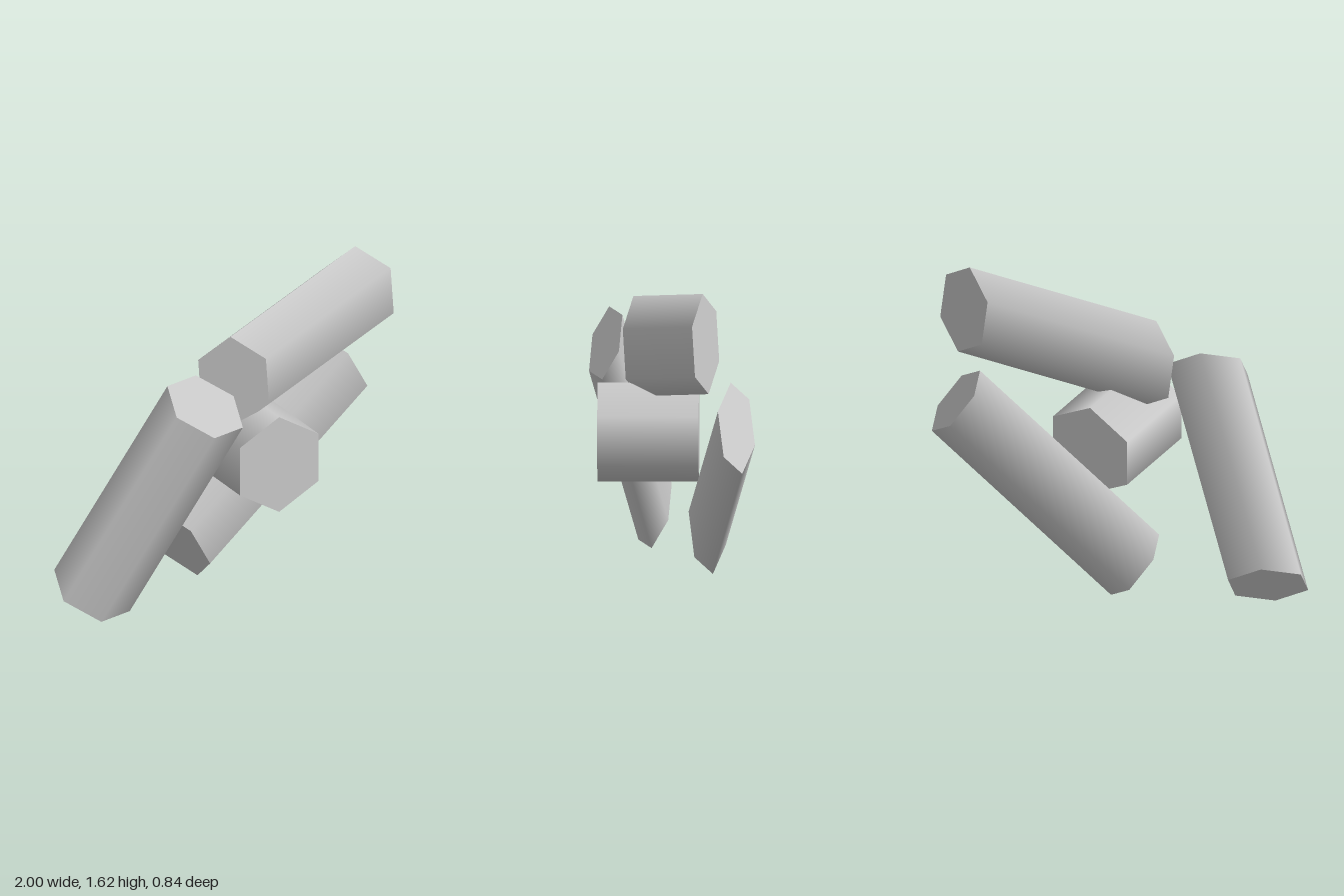
import * as THREE from 'three';

const material = new THREE.MeshStandardMaterial({ color: 0xcccccc });

// Smooth-sided six-sided prism, skewed so that its cap has the
// neighbouring corners a and b (offsets from the cap centre).
function prism(name, centre, axis, a, b) {
  const y = new THREE.Vector3(...axis);
  const z = new THREE.Vector3(...a);
  const x = new THREE.Vector3(...b).addScaledVector(z, -0.5).divideScalar(Math.sin(Math.PI / 3));
  const matrix = new THREE.Matrix4().makeBasis(x, y, z);
  // keep the faces turned outward
  if (matrix.determinant() < 0) matrix.makeBasis(x.negate(), y, z);
  matrix.setPosition(...centre);

  const geometry = new THREE.CylinderGeometry(1, 1, 1, 6);
  geometry.applyMatrix4(matrix);
  const mesh = new THREE.Mesh(geometry, material);
  mesh.name = name;
  return mesh;
}

export function createModel() {
  const group = new THREE.Group();
  group.name = 'hexagonalPrisms';
  group.add(
    // short hub pointing forward
    prism('hub', [0.108, 0.768, 0.118], [0, 0, 0.505], [0, 0.253, 0], [0.219, 0.1265, 0]),
    // three long bars around the hub
    prism('rightBar', [-0.542, 0.646, 0.215], [0.51, 0.975, 0.24], [-0.203, 0.141, -0.015], [-0.01, 0.141, -0.083]),
    prism('upperBar', [0.388, 1.275, 0.002], [0.875, 0.208, -0.355], [-0.025, 0.25, 0.015], [0.147, 0.12, 0.066]),
    prism('lowerBar', [0.297, 0.575, -0.25], [0.957, 0.727, -0.157], [0.147, -0.114, 0.062], [0.024, 0.091, 0.092])
  );
  return group;
}
